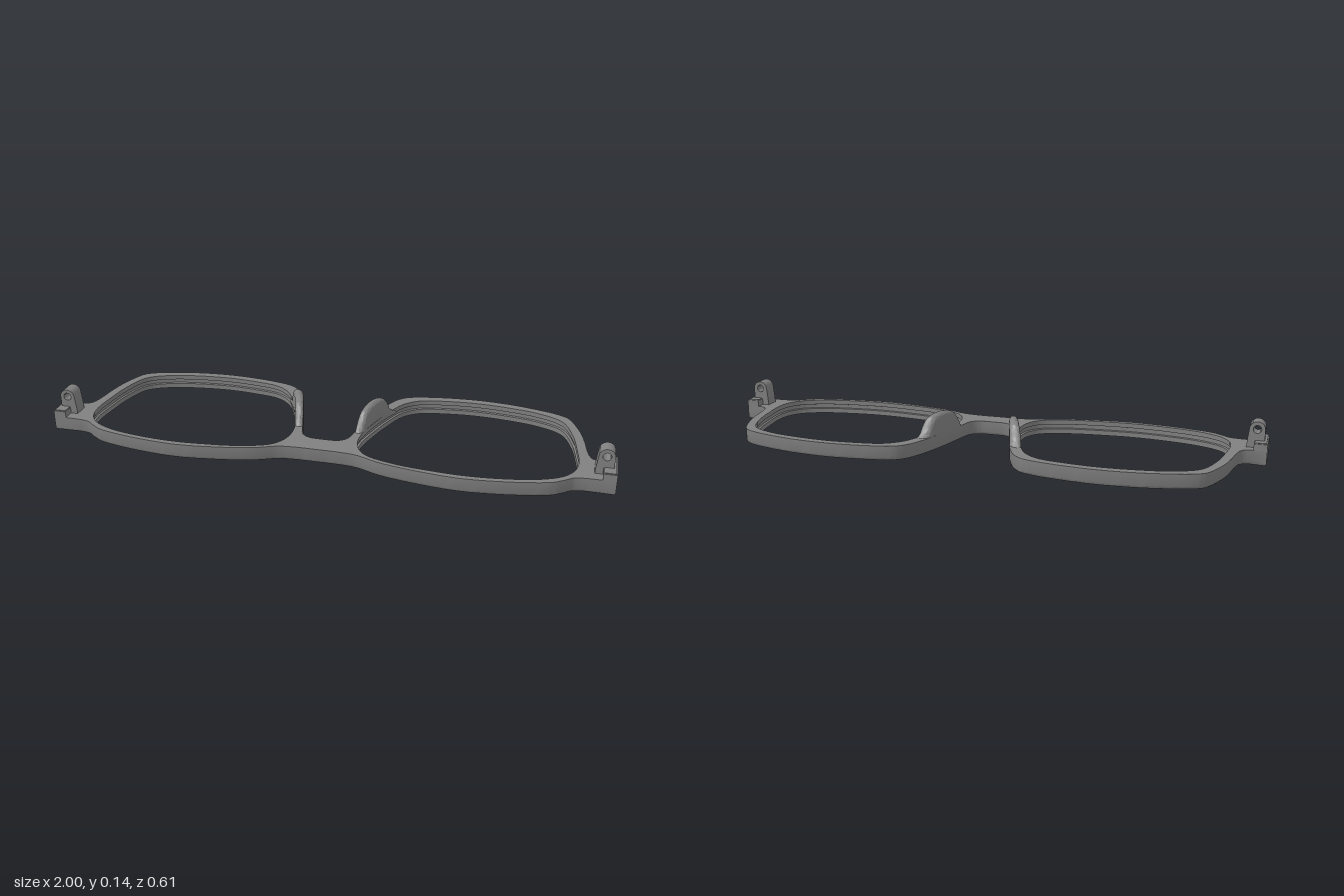
import * as THREE from 'three';
import { toCreasedNormals } from 'three/addons/utils/BufferGeometryUtils.js';

const H = 0.053; // frame thickness
const V = (x, y) => new THREE.Vector2(x, y);
const toVectors = (pairs) => pairs.map(([x, z]) => V(x, -z));

// Smooth open curve through [x, z] pairs
const smooth = (pairs, n) => new THREE.SplineCurve(toVectors(pairs)).getPoints(n);

// Grow (d > 0) or shrink a counter-clockwise loop
function offset(loop, d) {
  const n = loop.length;
  return loop.map((p, i) => {
    const t = loop[(i + 1) % n].clone().sub(loop[(i + n - 1) % n]).normalize();
    return V(p.x + t.y * d, p.y - t.x * d);
  });
}

const mirrorLoop = (loop) => loop.map((p) => V(-p.x, p.y)).reverse();

function quad(out, a, b, c, d) {
  for (const p of [a, b, c, a, c, d]) out.push(...p);
}

function creased(positions, angle = 0.6) {
  const g = new THREE.BufferGeometry();
  g.setAttribute('position', new THREE.Float32BufferAttribute(positions, 3));
  return toCreasedNormals(g, angle);
}

// Copy of a non-indexed geometry reflected in x, with its corners reordered
function mirrored(geometry) {
  const p = geometry.getAttribute('position');
  const out = [];
  for (let i = 0; i < p.count; i += 3) {
    for (const k of [i, i + 2, i + 1]) out.push(-p.getX(k), p.getY(k), p.getZ(k));
  }
  return creased(out);
}

// Wall through stacked loops, levels = [[offset, height], ...]
function wall(out, loop, levels, inward) {
  const n = loop.length;
  for (let k = 0; k + 1 < levels.length; k++) {
    const [lo, hi] = [levels[k], levels[k + 1]];
    const a = offset(loop, lo[0]);
    const b = offset(loop, hi[0]);
    for (let i = 0; i < n; i++) {
      const j = (i + 1) % n;
      const c = [[a[i].x, a[i].y, lo[1]], [a[j].x, a[j].y, lo[1]],
        [b[j].x, b[j].y, hi[1]], [b[i].x, b[i].y, hi[1]]];
      if (inward) c.reverse();
      quad(out, ...c);
    }
  }
}

function cap(out, outer, holes, height, down) {
  const shape = new THREE.Shape(outer);
  shape.holes = holes.map((h) => new THREE.Path(h));
  const g = new THREE.ShapeGeometry(shape).toNonIndexed();
  const p = g.getAttribute('position');
  for (let i = 0; i < p.count; i += 3) {
    for (const k of down ? [i, i + 2, i + 1] : [i, i + 1, i + 2]) out.push(p.getX(k), p.getY(k), height);
  }
}

// Frame front: outline with bridge and end lugs, two grooved lens openings
function frameGeometry() {
  const front = smooth([[0, 0.222], [0.07, 0.222], [0.14, 0.23], [0.23, 0.264], [0.36, 0.289], [0.5, 0.302],
    [0.65, 0.289], [0.78, 0.262], [0.83, 0.235], [0.865, 0.21], [0.91, 0.203]], 70);
  const back = smooth([[0.94, 0.073], [0.917, 0.06], [0.903, 0.02], [0.89, -0.06], [0.873, -0.13], [0.838, -0.215],
    [0.8, -0.247], [0.725, -0.272], [0.61, -0.295], [0.485, -0.303], [0.36, -0.294], [0.25, -0.272], [0.2, -0.24],
    [0.166, -0.18], [0.134, -0.09], [0.108, 0.01], [0.092, 0.08], [0.08, 0.118], [0.05, 0.14], [0, 0.143]], 110);
  const half = [...front, V(1, -0.203), V(1, -0.073), ...back];
  const outline = [...half, ...mirrorLoop(half).slice(1, -1)];

  const hole = new THREE.CatmullRomCurve3([[0.122, 0.08], [0.127, 0.16], [0.165, 0.218], [0.27, 0.257], [0.39, 0.274],
    [0.51, 0.281], [0.63, 0.272], [0.75, 0.248], [0.83, 0.208], [0.865, 0.16], [0.876, 0.1], [0.867, 0.01],
    [0.85, -0.09], [0.808, -0.195], [0.72, -0.242], [0.61, -0.264], [0.485, -0.273], [0.37, -0.264], [0.28, -0.245],
    [0.222, -0.198], [0.18, -0.11], [0.145, -0.01]].map(([x, z]) => new THREE.Vector3(x, -z, 0)), true)
    .getPoints(110).slice(0, -1).map((p) => V(p.x, p.y));
  const holes = [hole, mirrorLoop(hole)];

  const out = [];
  wall(out, outline, [[-0.01, 0], [-0.005, 0.0015], [-0.0015, 0.005], [0, 0.01], [0, H]], false);
  for (const h of holes) wall(out, h, [[0, 0], [0, 0.018], [0.007, 0.02], [0.007, 0.034], [0, 0.036], [0, H]], true);
  cap(out, outline, holes, H, false);
  cap(out, offset(outline, -0.01), holes, 0, true);
  return creased(out).rotateX(-Math.PI / 2);
}

// Nose pad: a rounded ridge following the inner rim
function padGeometry() {
  const spine = new THREE.SplineCurve([[0.08, 0.046], [0.062, 0.06], [0.045, 0.085], [0.025, 0.111], [0, 0.124],
    [-0.045, 0.131], [-0.09, 0.124], [-0.11, 0.107], [-0.125, 0.078], [-0.142, 0.06], [-0.16, 0.046]]
    .map(([z, h]) => V(z, h))).getPoints(40);
  const rows = spine.map(({ x: z, y: h }) => {
    const u = 0.08 - z;
    const xi = 0.0925 + 0.17 * u + 0.45 * u * u;
    const xo = 0.1215 + 0.18 * u + 0.7 * u * u;
    const r = (xo - xi) / 2;
    const ry = Math.min(r, Math.max(h - 0.04, 0.002));
    const row = [[xi, 0.035, z]];
    for (let i = 0; i <= 12; i++) {
      const a = Math.PI * (1 - i / 12);
      row.push([xi + r + r * Math.cos(a), h - ry + ry * Math.sin(a), z]);
    }
    row.push([xo, 0.035, z]);
    return row;
  });
  const out = [];
  for (let k = 0; k + 1 < rows.length; k++) {
    for (let i = 0; i + 1 < rows[k].length; i++) quad(out, rows[k][i], rows[k][i + 1], rows[k + 1][i + 1], rows[k + 1][i]);
  }
  return creased(out);
}

// Hinge eye: upright loop with a pin hole and a flared foot
function hingeGeometry() {
  const [cx, cy, r] = [0.961, 0.118, 0.027];
  const s = new THREE.Shape();
  s.moveTo(0.927, 0.045);
  s.lineTo(cx + r, 0.045);
  s.lineTo(cx + r, cy);
  s.absarc(cx, cy, r, 0, Math.PI * 0.95, false);
  s.lineTo(0.929, 0.075);
  s.closePath();
  const pin = new THREE.Path();
  pin.absarc(cx, cy, 0.014, 0, Math.PI * 2, true);
  s.holes.push(pin);
  const g = new THREE.ExtrudeGeometry(s, { depth: 0.054, bevelEnabled: false, curveSegments: 24 });
  return toCreasedNormals(g.translate(0, 0, 0.108), 0.6);
}

export function createModel() {
  const grey = new THREE.MeshStandardMaterial({ color: 0x808080 });
  grey.name = 'grey plastic';
  const model = new THREE.Group();
  model.name = 'eyeglassFrame';
  const add = (name, geometry) => {
    const mesh = new THREE.Mesh(geometry, grey);
    mesh.name = name;
    model.add(mesh);
  };

  add('frameFront', frameGeometry());

  // Raised end blocks beside the hinges
  const block = new THREE.BoxGeometry(0.046, 0.032, 0.13).translate(0.977, 0.06, 0.138).toNonIndexed();
  const lip = new THREE.BoxGeometry(0.04, 0.006, 0.122).translate(0.976, 0.076, 0.138).toNonIndexed();

  const parts = { NosePad: padGeometry(), EndBlock: block, EndBlockLip: lip, HingeEye: hingeGeometry() };
  for (const [name, geometry] of Object.entries(parts)) {
    add('left' + name, geometry);
    add('right' + name, mirrored(geometry));
  }
  return model;
}
